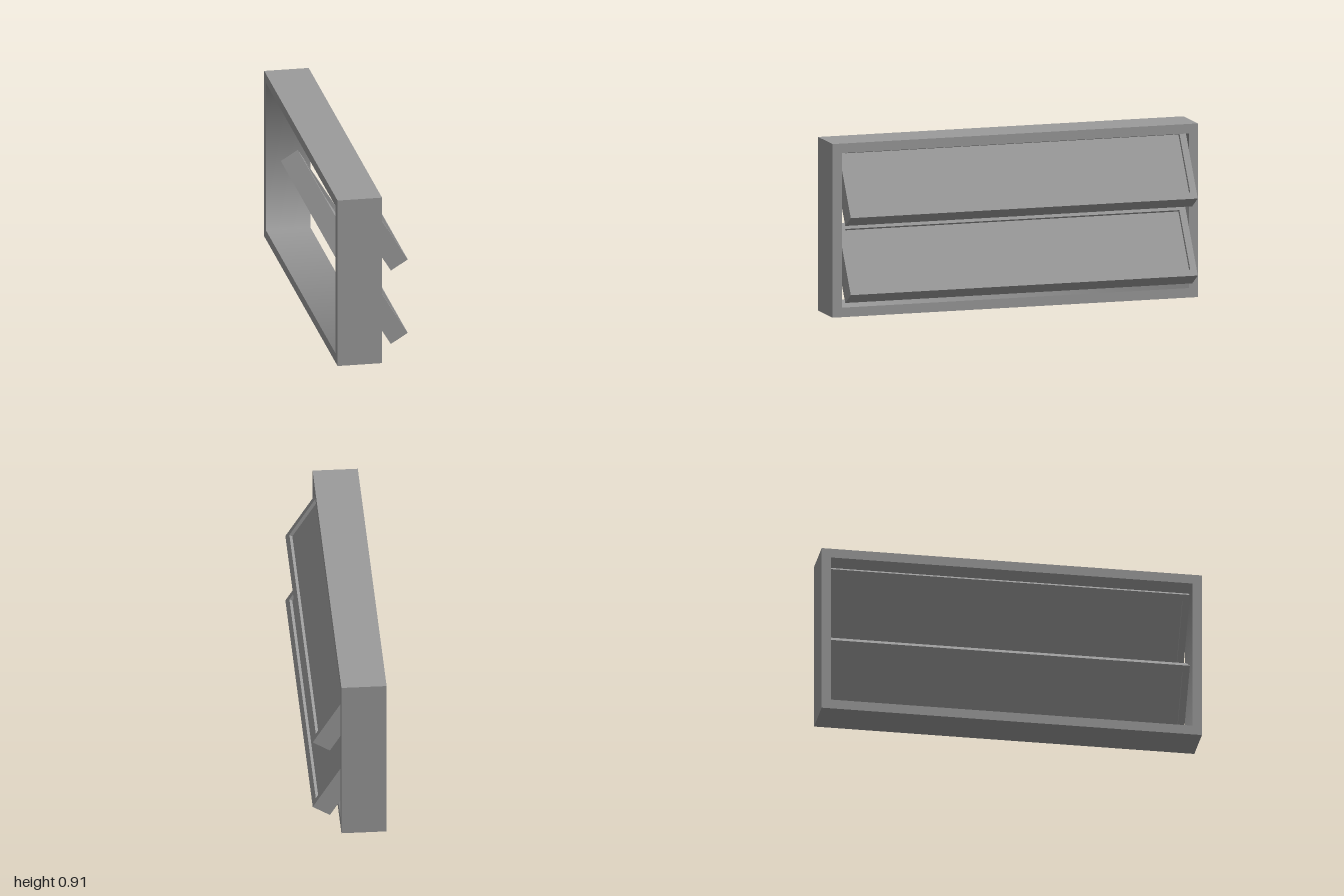
import * as THREE from 'three';

const material = new THREE.MeshStandardMaterial({ color: 0x9b9b9b });

// Rectangular frame lying in the z-y plane, centred on its origin, depth along x
function rectFrame(name, width, height, border, depth) {
  const w = width / 2, h = height / 2;
  const rect = (a, b) => [[-a, -b], [a, -b], [a, b], [-a, b]].map(([x, y]) => new THREE.Vector2(x, y));
  const shape = new THREE.Shape(rect(w, h));
  shape.holes.push(new THREE.Path(rect(w - border, h - border).reverse()));
  const geometry = new THREE.ExtrudeGeometry(shape, { depth, bevelEnabled: false });
  geometry.translate(0, 0, -depth / 2).rotateY(Math.PI / 2);
  const mesh = new THREE.Mesh(geometry, material);
  mesh.name = name;
  return mesh;
}

// Shade the inner walls of a frame smoothly around the corners
function smoothOpening(geometry, outerHalfWidth) {
  const { position, normal } = geometry.attributes;
  for (let i = 0; i < position.count; i++) {
    const isWall = Math.abs(normal.getX(i)) < 0.5;
    const isInner = Math.abs(position.getZ(i)) < outerHalfWidth - 0.01;
    if (!isWall || !isInner) continue;
    normal.setXYZ(i, 0,
      -Math.sign(position.getY(i)) * Math.SQRT1_2,
      -Math.sign(position.getZ(i)) * Math.SQRT1_2);
  }
}

// Top-hung sash: its origin is the hinge line at the top edge
function createSash(name) {
  const width = 1.9, height = 0.405, border = 0.035, depth = 0.105, recess = 0.018;
  const sash = new THREE.Group();
  sash.name = name;
  const rim = rectFrame('sashRim', width, height, border, depth);
  const pane = new THREE.Mesh(
    new THREE.BoxGeometry(depth - 2 * recess, height - 2 * border, width - 2 * border), material);
  pane.name = 'pane';
  rim.position.y = pane.position.y = -height / 2;
  sash.add(rim, pane);
  return sash;
}

export function createModel() {
  const model = new THREE.Group();
  model.name = 'awningWindow';

  // Outer frame
  const frame = rectFrame('outerFrame', 2, 0.913, 0.05, 0.235);
  smoothOpening(frame.geometry, 1);
  frame.position.set(-0.0725, 0.4565, 0);
  model.add(frame);

  // Two sashes swung open at the bottom
  [['lowerSash', 0.456], ['upperSash', 0.861]].forEach(([name, y]) => {
    const sash = createSash(name);
    sash.position.set(-0.067, y, 0);
    sash.rotation.z = THREE.MathUtils.degToRad(31.7);
    model.add(sash);
  });
  return model;
}
